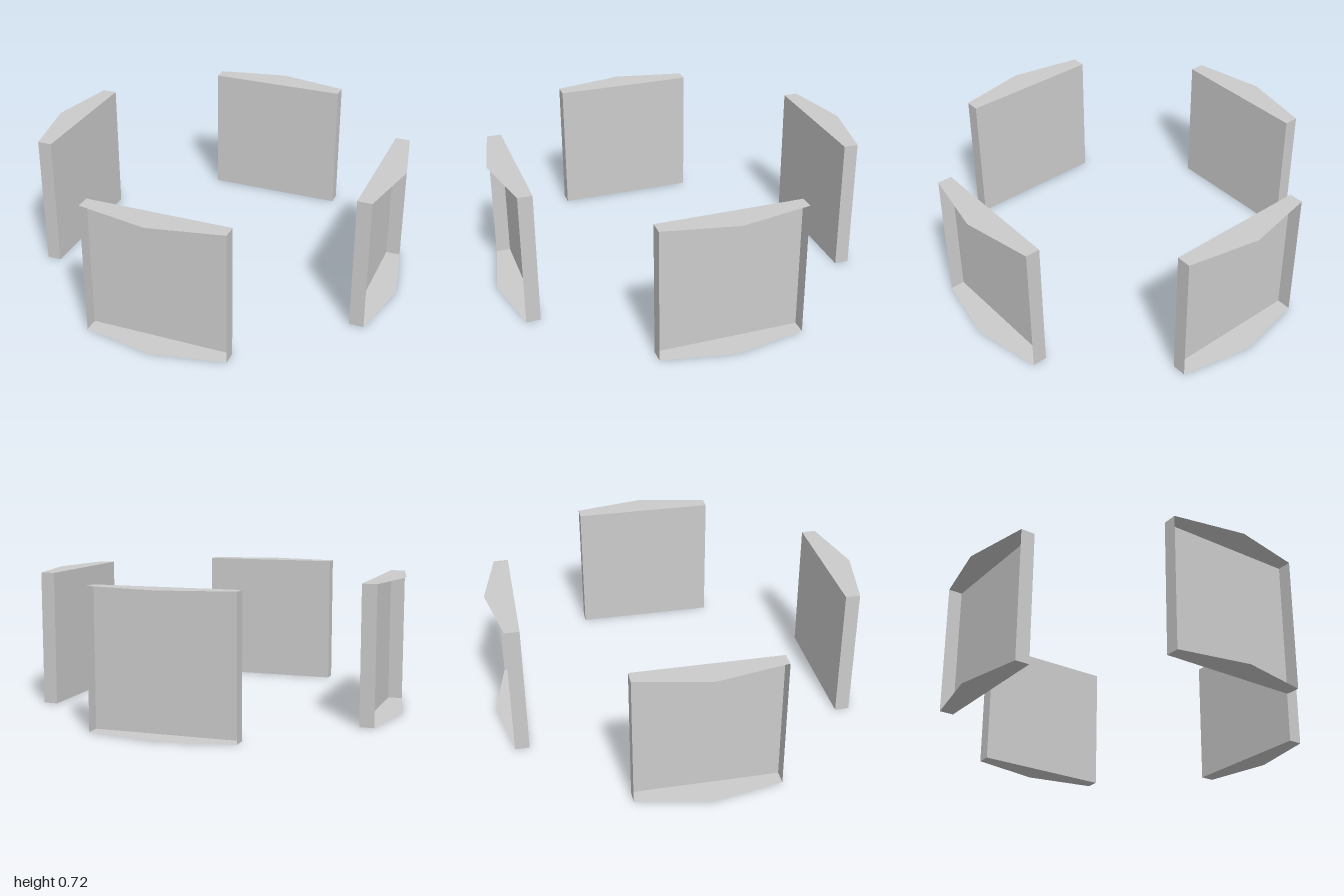
import * as THREE from 'three';

const HEIGHT = 0.722;
const INNER = 0.847; // distance of the flat inner wall from the centre
const HALF = Math.sin(Math.PI / 8); // half width of a panel
const EDGE = Math.cos(Math.PI / 8); // outer edge of the side walls

export function createModel() {
  const model = new THREE.Group();
  const material = new THREE.MeshStandardMaterial({
    color: 0xcccccc, flatShading: true, side: THREE.DoubleSide,
  });

  // Pentagonal outline of the caps, with its peak outward
  const outline = new THREE.Shape([
    new THREE.Vector2(-HALF, INNER),
    new THREE.Vector2(HALF, INNER),
    new THREE.Vector2(HALF, EDGE),
    new THREE.Vector2(0, 1),
    new THREE.Vector2(-HALF, EDGE),
  ]);
  const topCap = new THREE.ShapeGeometry(outline).rotateX(Math.PI / 2).translate(0, HEIGHT, 0);
  const bottomCap = new THREE.ShapeGeometry(outline).rotateX(Math.PI / 2);
  // Caps wind downward; turn the top one over about the symmetric x axis
  topCap.scale(-1, 1, 1);

  const innerWall = new THREE.PlaneGeometry(2 * HALF, HEIGHT)
    .rotateY(Math.PI).translate(0, HEIGHT / 2, INNER);
  const endWall = (side) => new THREE.PlaneGeometry(EDGE - INNER, HEIGHT)
    .rotateY(side * Math.PI / 2).translate(side * HALF, HEIGHT / 2, (INNER + EDGE) / 2);

  const parts = {
    innerWall, topCap, bottomCap, leftEndWall: endWall(1), rightEndWall: endWall(-1),
  };

  // Four panels around the centre, open on their outer side
  ['frontPanel', 'leftPanel', 'backPanel', 'rightPanel'].forEach((name, i) => {
    const panel = new THREE.Group();
    panel.name = name;
    panel.rotation.y = i * Math.PI / 2;
    for (const [part, geometry] of Object.entries(parts)) {
      const mesh = new THREE.Mesh(geometry, material);
      mesh.name = part;
      panel.add(mesh);
    }
    model.add(panel);
  });
  return model;
}
